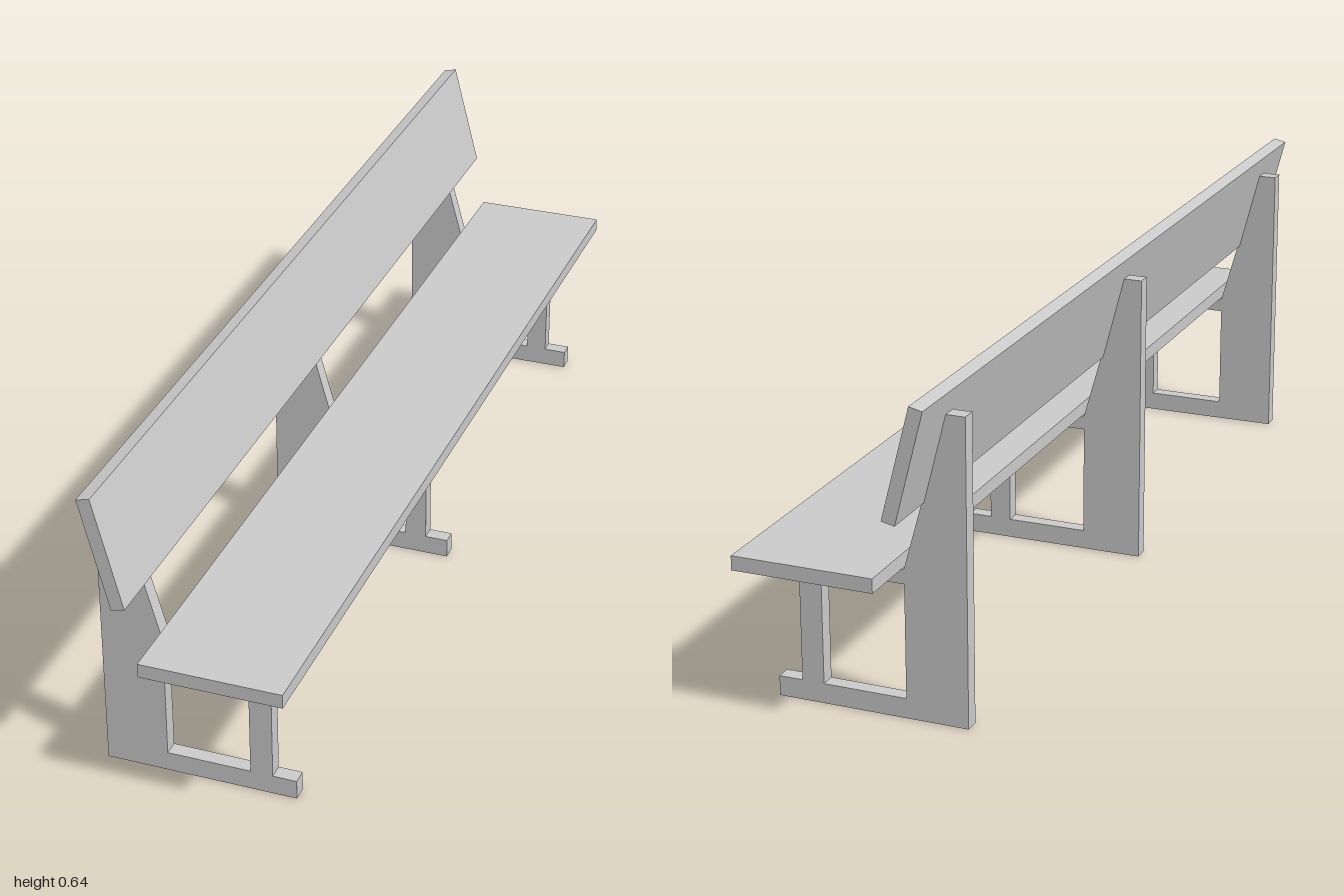
import * as THREE from 'three';

const material = new THREE.MeshStandardMaterial({ color: 0xcccccc, flatShading: true });
const points = (list) => list.map(([x, y]) => new THREE.Vector2(x, y));

// Extrude a side profile along z, centred on z = 0
function extrudeProfile(shape, depth) {
  return new THREE.ExtrudeGeometry(shape, { depth, bevelEnabled: false }).translate(0, 0, -depth / 2);
}

function addMesh(group, name, geometry, z = 0) {
  const mesh = new THREE.Mesh(geometry, material);
  mesh.name = name;
  mesh.position.z = z;
  group.add(mesh);
}

export function createModel() {
  const bench = new THREE.Group();
  bench.name = 'bench';

  // Support frame: rear post with sloped front, seat bearer, front leg and foot
  const profile = new THREE.Shape(points([
    [-0.201, 0], [0.177, 0], [0.177, 0.039], [0.13, 0.039], [0.13, 0.262],
    [0.172, 0.262], [0.172, 0.291], [-0.079, 0.291], [-0.163, 0.593], [-0.201, 0.593],
  ]));
  profile.holes.push(new THREE.Path(points([
    [-0.079, 0.039], [-0.079, 0.262], [0.086, 0.262], [0.086, 0.039],
  ])));
  const frameGeometry = extrudeProfile(profile, 0.03);
  const frames = { leftFrame: 0.865, middleFrame: 0, rightFrame: -0.865 };
  for (const [name, z] of Object.entries(frames)) addMesh(bench, name, frameGeometry, z);

  // Seat board
  addMesh(bench, 'seat', new THREE.BoxGeometry(0.276, 0.028, 2).translate(0.063, 0.305, 0));

  // Leaning back board
  const back = new THREE.Shape(points([
    [-0.12, 0.423], [-0.094, 0.429], [-0.15, 0.645], [-0.176, 0.639],
  ]));
  addMesh(bench, 'backrest', extrudeProfile(back, 2));

  return bench;
}
